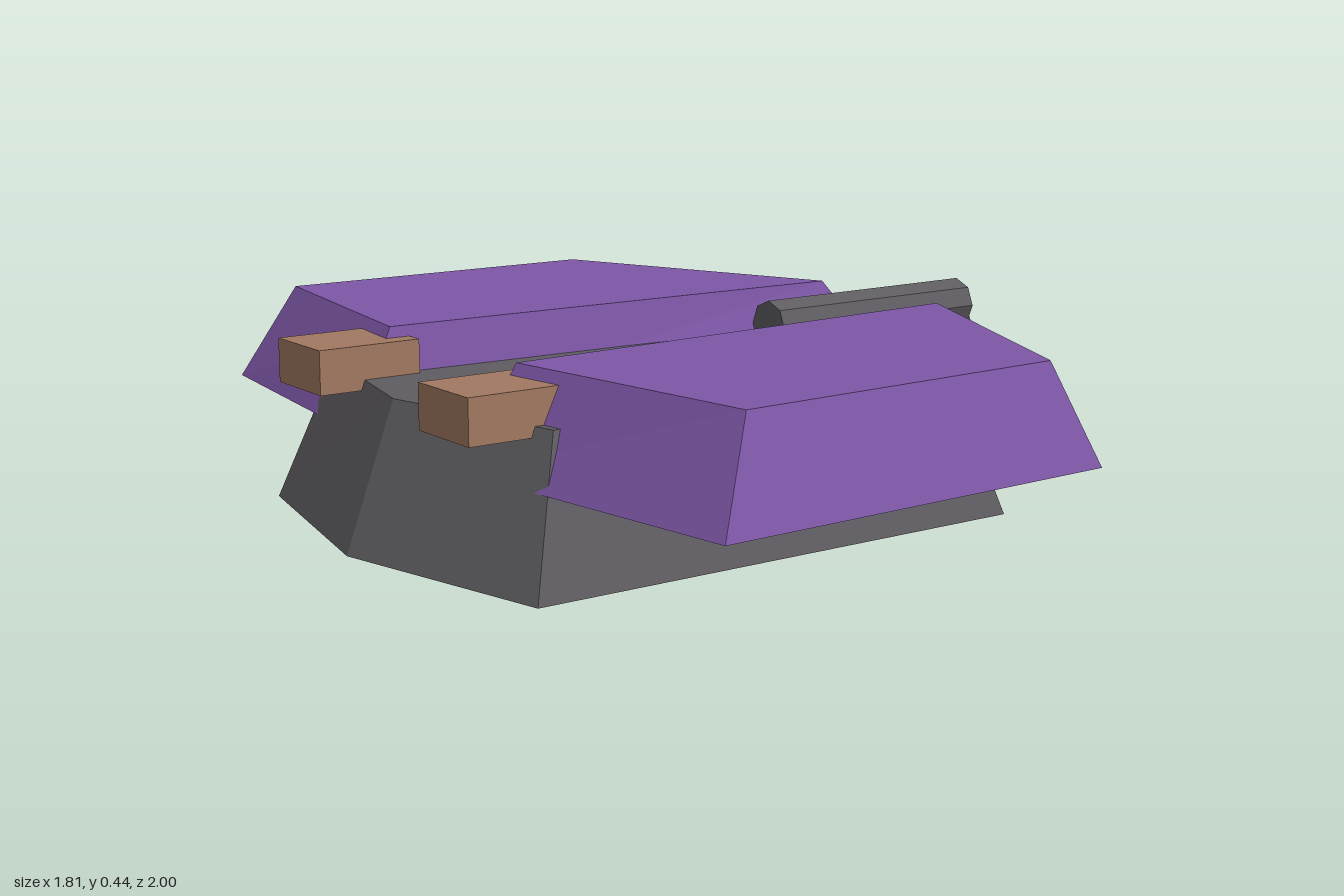
import * as THREE from 'three';

const mat = (name, color) => {
  const m = new THREE.MeshStandardMaterial({ color, flatShading: true });
  m.name = name;
  return m;
};

// Solid between two matching [x, z] outlines at heights y0 and y1
function frustum(base, top, y0, y1) {
  const area = base.reduce((s, [x, z], i) => {
    const [x2, z2] = base[(i + 1) % base.length];
    return s + x * z2 - x2 * z;
  }, 0);
  // Keep outlines counter-clockwise as seen from above
  const order = (pts) => (area > 0 ? [...pts].reverse() : pts);
  const b = order(base).map(([x, z]) => [x, y0, z]);
  const t = order(top).map(([x, z]) => [x, y1, z]);
  const n = b.length;
  const pos = [];
  const tri = (...p) => p.forEach((v) => pos.push(...v));
  for (let i = 0; i < n; i++) {
    const j = (i + 1) % n;
    tri(b[i], b[j], t[j]);
    tri(b[i], t[j], t[i]);
    if (i > 0 && i < n - 1) {
      tri(t[0], t[i], t[j]);
      tri(b[0], b[j], b[i]);
    }
  }
  const g = new THREE.BufferGeometry();
  g.setAttribute('position', new THREE.Float32BufferAttribute(pos, 3));
  g.computeVertexNormals();
  return g;
}

// Six-cornered outline, pointed at both ends and symmetric in z
const hexagon = (rear, rearCorner, frontCorner, tip, half) => [
  [rear, 0], [rearCorner, half], [frontCorner, half],
  [tip, 0], [frontCorner, -half], [rearCorner, -half],
];

export function createModel() {
  const group = new THREE.Group();
  const grey = mat('dark grey', 0x5e5c60);
  const purple = mat('purple', 0x7d56a6);
  const brown = mat('brown', 0xa17860);

  const add = (name, geometry, material) => {
    const mesh = new THREE.Mesh(geometry, material);
    mesh.name = name;
    group.add(mesh);
    return mesh;
  };

  // Central hull
  add('hull', frustum(
    hexagon(-0.905, -0.785, 0.46, 0.84, 0.56),
    hexagon(-0.785, -0.68, 0.375, 0.7, 0.46), 0, 0.325), grey);

  // Wedge that carries the barrel
  const diamond = (rear, corner, tip, half) => [[rear, 0], [corner, half], [tip, 0], [corner, -half]];
  add('gunMount', frustum(
    diamond(0.33, 0.6, 0.902, 0.128),
    diamond(0.36, 0.6, 0.842, 0.125), 0.255, 0.375), grey);

  // Eight-sided barrel along x
  const barrel = new THREE.CylinderGeometry(0.061, 0.061, 0.595, 8);
  barrel.rotateZ(Math.PI / 2);
  add('barrel', barrel, grey).position.set(0.5175, 0.376, 0);

  // Side pods and exhausts, mirrored
  const podBase = [[-0.757, 0.225], [-0.66, 1], [0.34, 0.97], [0.714, 0.126]];
  const podTop = [[-0.643, 0.265], [-0.547, 0.914], [0.257, 0.894], [0.557, 0.213]];
  for (const [side, s] of [['right', 1], ['left', -1]]) {
    const flip = (pts) => pts.map(([x, z]) => [x, z * s]);
    add(side + 'Pod', frustum(flip(podBase), flip(podTop), 0.203, 0.427), purple);
    add(side + 'Exhaust', new THREE.BoxGeometry(0.247, 0.1, 0.196), brown)
      .position.set(-0.7215, 0.352, 0.312 * s);
  }
  return group;
}
